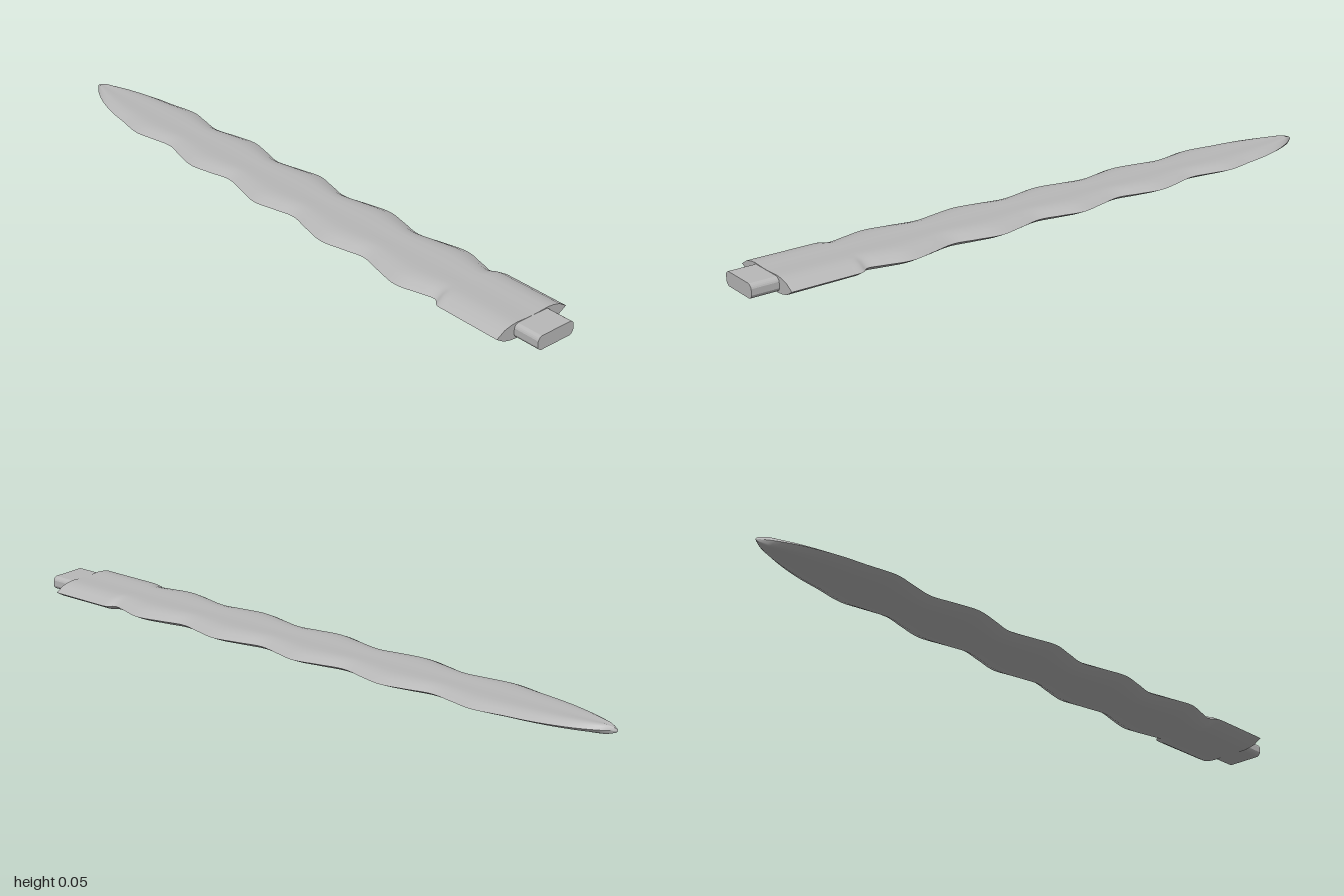
import * as THREE from 'three';

const MID = 0.0237;   // height of the cutting edge plane
const BASE_Z = 0.92;  // where the blade ends and the tang starts

// Blade outline: [z, half width] from tip to base
const outline = [
  [-1, 0], [-0.98, 0.014], [-0.95, 0.032], [-0.9, 0.055], [-0.84, 0.075], [-0.78, 0.089], [-0.72, 0.098],
  [-0.63, 0.113], [-0.56, 0.102], [-0.485, 0.09], [-0.41, 0.107], [-0.335, 0.121], [-0.26, 0.107],
  [-0.19, 0.092], [-0.11, 0.109], [-0.035, 0.125], [0.035, 0.111], [0.105, 0.097], [0.18, 0.114],
  [0.26, 0.13], [0.335, 0.116], [0.405, 0.102], [0.48, 0.119], [0.56, 0.135], [0.63, 0.119],
  [0.68, 0.107], [0.707, 0.125], [0.74, 0.127], [0.83, 0.127], [BASE_Z, 0.127],
];

// Half cross-section: [fraction of half width, fraction of half thickness], shallow fuller in the middle
const half = [[0, 0.9], [0.2, 0.93], [0.43, 1], [0.6, 0.92], [0.79, 0.68], [1, 0]];
const section = [...half.slice(1).reverse().map(([u, v]) => [-u, v]), ...half];

// Half thickness tapers towards the tip and closes at the point
function thickness(z) {
  const taper = THREE.MathUtils.mapLinear(z, -1, BASE_Z, 0.0135, MID);
  return taper * Math.min(1, Math.sqrt(Math.max(0, (z + 1) / 0.03)));
}

// One face of the blade; side is 1 for the top, -1 for the underside
function bladeFace(rings, side) {
  const positions = [], index = [], n = section.length;
  rings.forEach((p, i) => {
    for (const [u, v] of section) positions.push(u * p.y, MID + side * v * thickness(p.x), p.x);
    if (i === 0) return;
    for (let j = 0; j < n - 1; j++) {
      const a = (i - 1) * n + j, b = a + n;
      if (side > 0) index.push(a, b, a + 1, b, b + 1, a + 1);
      else index.push(a, a + 1, b, b, a + 1, b + 1);
    }
  });
  const geometry = new THREE.BufferGeometry();
  geometry.setAttribute('position', new THREE.Float32BufferAttribute(positions, 3));
  geometry.setIndex(index);
  geometry.computeVertexNormals();
  return geometry;
}

export function createModel() {
  const steel = new THREE.MeshStandardMaterial({ color: 0xb8b8b8 });
  steel.name = 'steel';
  const model = new THREE.Group();
  model.name = 'wavyBlade';
  const add = (name, geometry, parent = model) => {
    const mesh = new THREE.Mesh(geometry, steel);
    mesh.name = name;
    parent.add(mesh);
    return mesh;
  };

  // Blade: two smooth faces meeting at sharp edges
  const blade = new THREE.Group();
  blade.name = 'blade';
  model.add(blade);
  const rings = new THREE.SplineCurve(outline.map(([z, w]) => new THREE.Vector2(z, w))).getPoints(174);
  rings.forEach((p) => { p.y = Math.max(0, p.y); });
  add('bladeTop', bladeFace(rings, 1), blade);
  add('bladeUnderside', bladeFace(rings, -1), blade);

  // Flat end of the blade
  const t = thickness(BASE_Z);
  const upper = section.map(([u, v]) => new THREE.Vector2(u * 0.127, MID + v * t));
  const lower = section.slice(1, -1).reverse().map(([u, v]) => new THREE.Vector2(u * 0.127, MID - v * t));
  add('bladeEnd', new THREE.ShapeGeometry(new THREE.Shape([...upper, ...lower])), blade).position.z = BASE_Z;

  // Tang: flat bar with rounded corners, set into the blade
  const w = 0.065, h = 0.0207, cx = 0.012, cy = 0.012;
  const bar = new THREE.Shape();
  bar.moveTo(-w + cx, -h);
  bar.lineTo(w - cx, -h);
  bar.quadraticCurveTo(w - cx / 4, -h + cy / 4, w, -h + cy);
  bar.lineTo(w, h - cy);
  bar.quadraticCurveTo(w - cx / 4, h - cy / 4, w - cx, h);
  bar.lineTo(-w + cx, h);
  bar.quadraticCurveTo(-w + cx / 4, h - cy / 4, -w, h - cy);
  bar.lineTo(-w, -h + cy);
  bar.quadraticCurveTo(-w + cx / 4, -h + cy / 4, -w + cx, -h);
  const tang = add('tang', new THREE.ExtrudeGeometry(bar, { depth: 0.12, bevelEnabled: false, curveSegments: 4 }));
  tang.position.set(0, MID, 0.88);

  return model;
}
